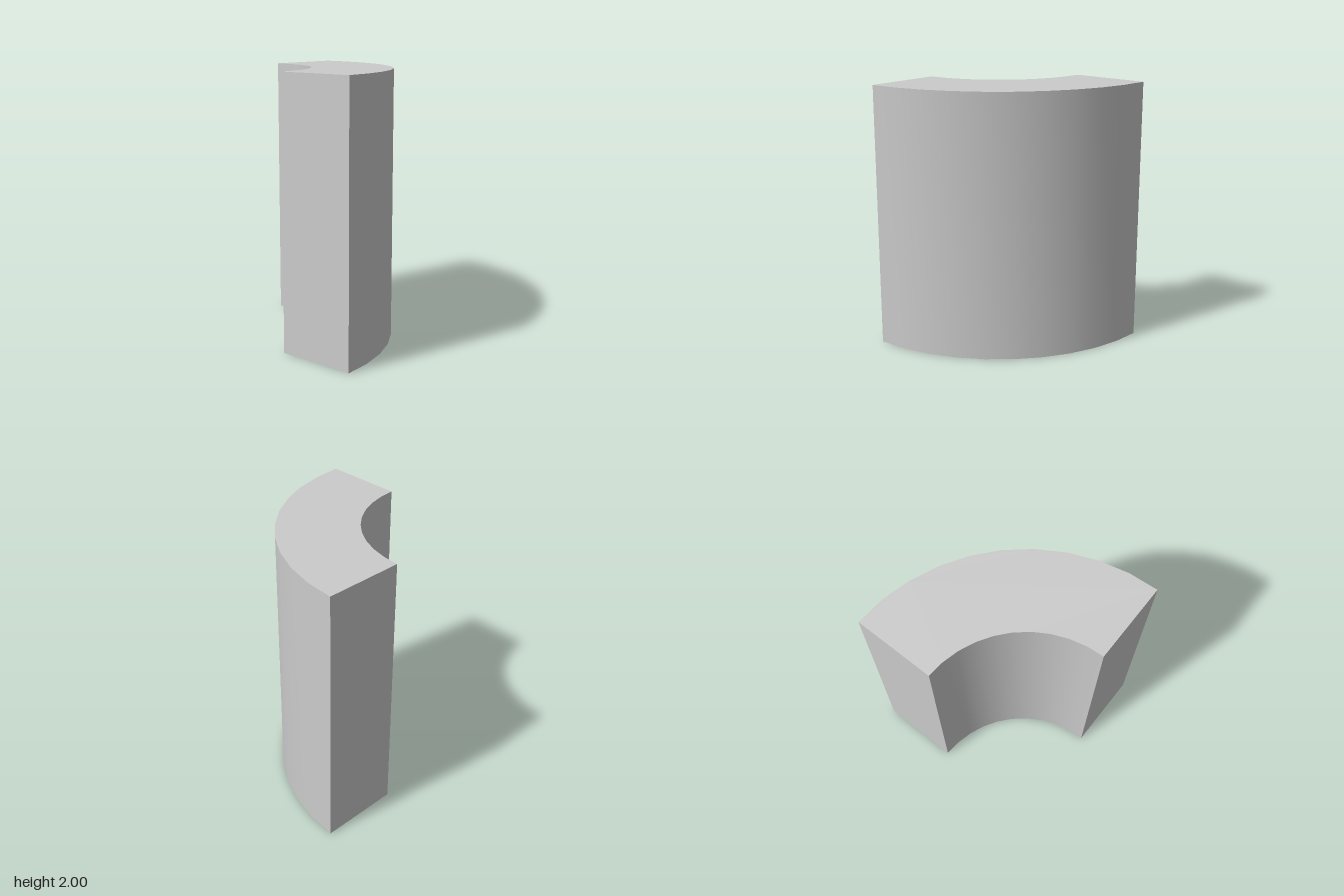
import * as THREE from 'three';
import { toCreasedNormals } from 'three/addons/utils/BufferGeometryUtils.js';

const CORNER = 0.7; // arc centre sits at x = -CORNER, z = +CORNER
const OUTER = 1.4;
const INNER = 0.8;
const HEIGHT = 2;

export function createModel() {
  const group = new THREE.Group();
  group.name = 'curvedWall';

  // Plan of a quarter ring: outer arc out, inner arc back
  const plan = new THREE.Shape();
  plan.absarc(-CORNER, -CORNER, OUTER, 0, Math.PI / 2, false);
  plan.absarc(-CORNER, -CORNER, INNER, Math.PI / 2, 0, true);
  plan.closePath();

  // Five curve segments give ten facets per arc
  const extruded = new THREE.ExtrudeGeometry(plan, {
    depth: HEIGHT,
    curveSegments: 5,
    bevelEnabled: false,
  });
  extruded.rotateX(-Math.PI / 2);

  // Smooth round the arcs, sharp at the ends and rims
  const wall = new THREE.Mesh(
    toCreasedNormals(extruded, 0.5),
    new THREE.MeshStandardMaterial({ color: 0xcccccc })
  );
  wall.name = 'quarterRingWall';
  group.add(wall);

  return group;
}
